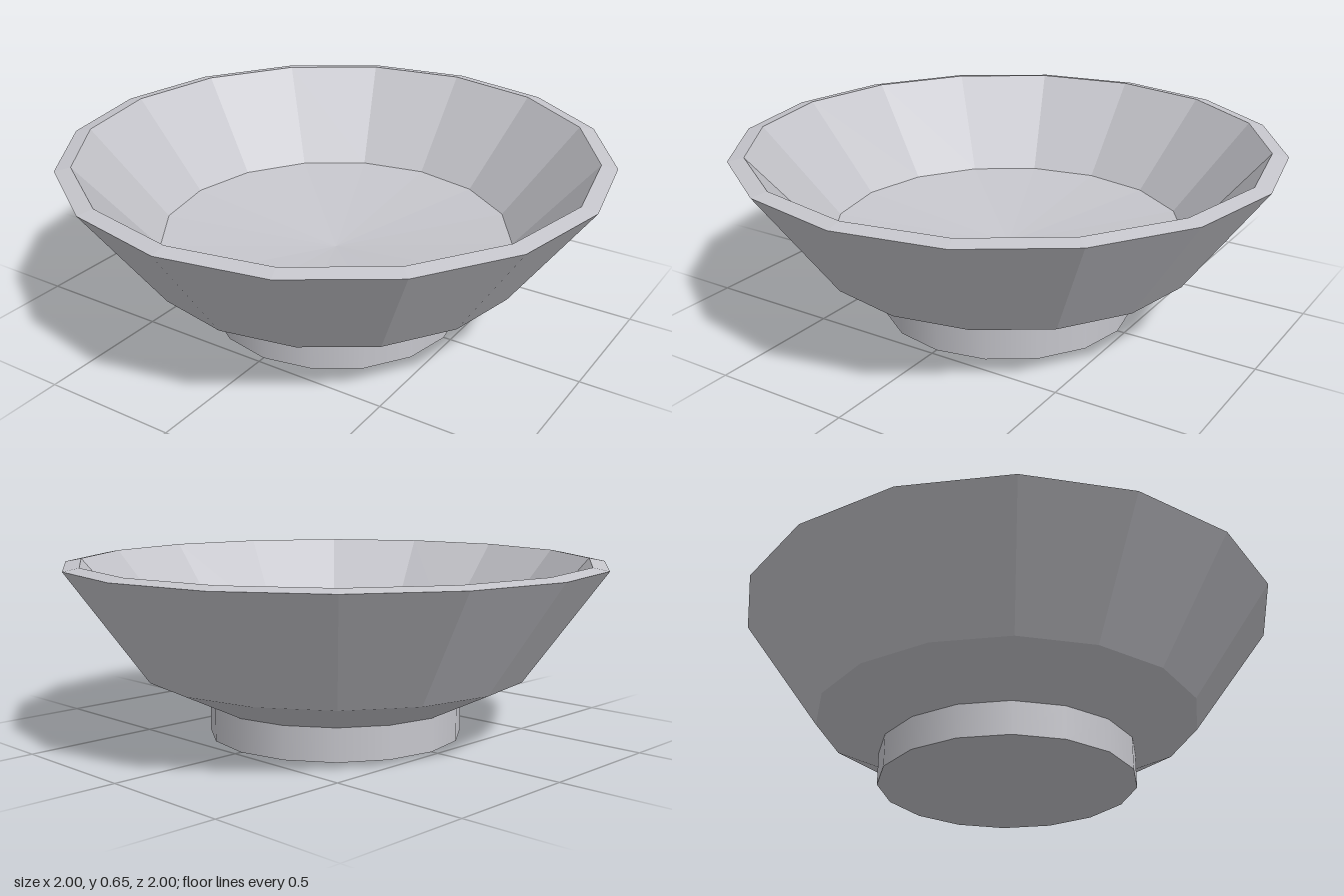
import * as THREE from 'three';

const SIDES = 16;

// Faceted solid of revolution from [radius, height] pairs, listed from the underside up and over
function facetedLathe(profile) {
  const points = profile.map(([r, y]) => new THREE.Vector2(r, y));
  const geometry = new THREE.LatheGeometry(points, SIDES).toNonIndexed();
  geometry.computeVertexNormals();
  return geometry;
}

export function createModel() {
  const group = new THREE.Group();
  group.name = 'bowl';

  const ceramic = new THREE.MeshStandardMaterial({ color: 0xc6c6cc });
  ceramic.name = 'pale grey ceramic';

  function add(name, geometry, y = 0) {
    const mesh = new THREE.Mesh(geometry, ceramic);
    mesh.name = name;
    mesh.position.y = y;
    group.add(mesh);
  }

  // Outer shell: shallow underside, then the flared wall
  add('outerWall', facetedLathe([[0.47, 0.12], [0.71, 0.235], [1, 0.64]]));

  // Lip, sloping slightly outward
  add('rim', facetedLathe([[1, 0.64], [0.942, 0.651]]));

  // Inside: steep wall down to a gently dished floor
  add('innerWall', facetedLathe([[0.942, 0.651], [0.656, 0.315]]));
  add('floor', facetedLathe([[0.656, 0.315], [0, 0.245]]));

  // Round foot with smooth sides
  add('foot', new THREE.CylinderGeometry(0.473, 0.473, 0.122, SIDES), 0.061);

  return group;
}
